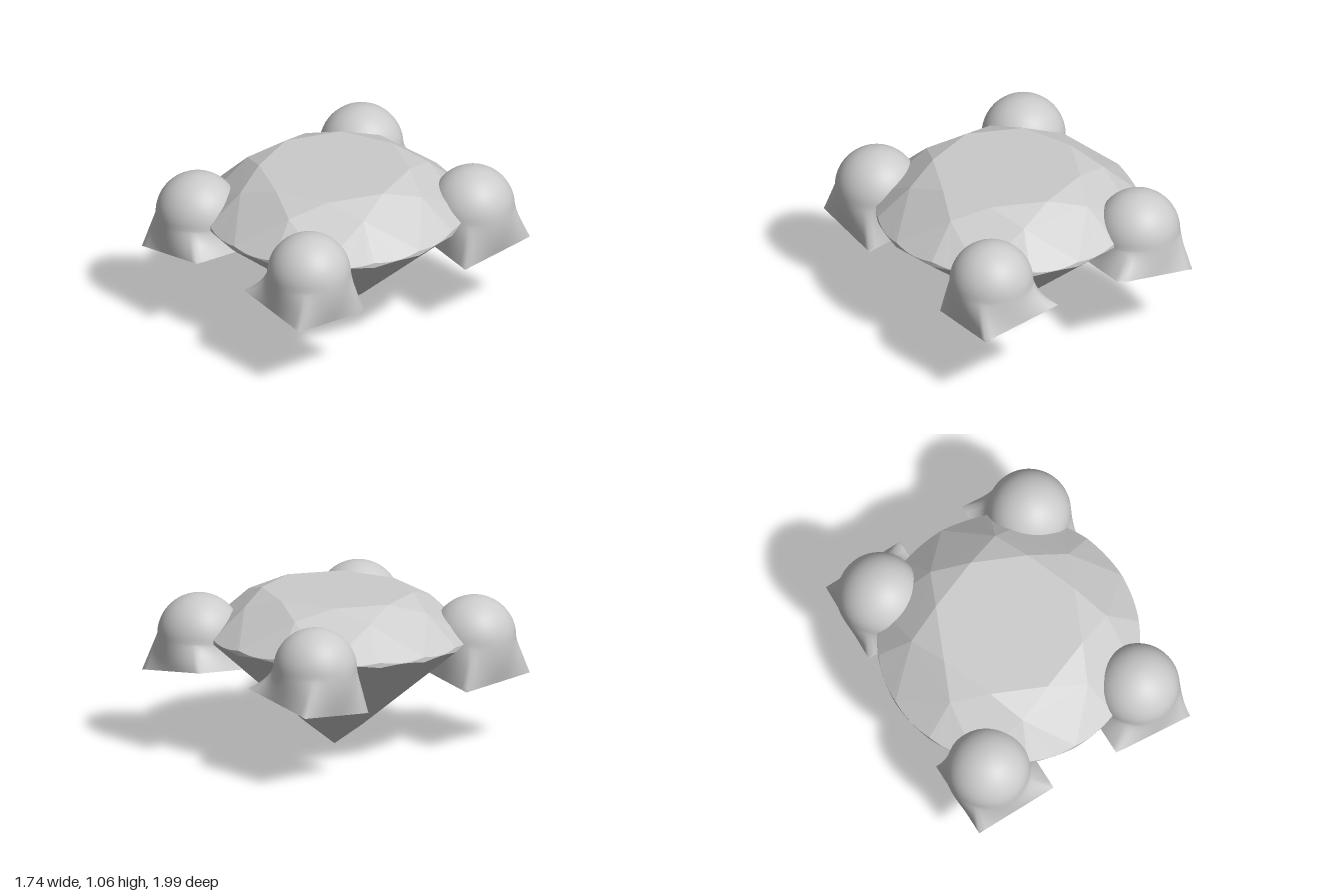
import * as THREE from 'three';

const lerp = THREE.MathUtils.lerp;
const polar = (r, a, y) => [r * Math.sin(a), y, r * Math.cos(a)];

// Round brilliant-cut stone: eightfold crown, scalloped girdle, pointed pavilion
function gemGeometry() {
  const pos = [];
  const face = (...p) => {
    for (let i = 1; i < p.length - 1; i++) pos.push(...p[0], ...p[i], ...p[i + 1]);
  };
  const R = 0.87, steps = 16, eighth = Math.PI / 4;
  const dip = (a) => Math.abs(Math.sin(8 * a));
  const upper = (a) => polar(R, a, 0.77 - 0.0159 * dip(a));
  const lower = (a) => polar(R, a, 0.735 + 0.0148 * dip(a));
  const table = (i) => polar(0.5, i * eighth, 1.05);
  const star = (i) => polar(0.65, (i + 0.5) * eighth, 0.975);
  const half = (i) => polar(0.2, (i + 0.5) * eighth, 0.156);
  const culet = [0, 0, 0];

  for (let i = 0; i < 8; i++) {
    const a = i * eighth;
    face([0, 1.05, 0], table(i), table(i + 1));            // table
    face(star(i), table(i + 1), table(i));                 // star facet
    face(star(i - 1), upper(a), star(i), table(i));        // kite facet
    face(culet, half(i), lower(a), half(i - 1));           // pavilion main
    for (let j = 0; j < steps; j++) {
      const b = a + eighth * j / steps, c = a + eighth * (j + 1) / steps;
      face(upper(b), upper(c), star(i));                   // upper half
      face(lower(b), lower(c), upper(c), upper(b));        // girdle
      face(half(i), lower(c), lower(b));                   // lower half
    }
  }
  const g = new THREE.BufferGeometry();
  g.setAttribute('position', new THREE.Float32BufferAttribute(pos, 3));
  g.computeVertexNormals();
  return g;
}

// Claw: slanted square foot blending upward into a round dome; sx, sz mirror it
function prongGeometry(sx, sz) {
  const n = 64, wall = 14, dome = 16, rows = wall + dome;
  const pos = [], idx = [];
  const put = (x, y, z) => pos.push(sx * x, y, sz * z);
  const tri = (a, b, c) => (sx * sz > 0 ? idx.push(a, b, c) : idx.push(a, c, b));
  const footY = (x, z) => 0.495 + (0.81 - x) * 0.158 - (1 - z) * 0.087;
  const ring = (row, j) => {
    const a = j / n * Math.PI * 2, s = Math.sin(a), c = Math.cos(a);
    const f = Math.min(row / wall, 1);
    const phi = Math.max(row - wall, 0) / dome * Math.PI / 2;
    const square = 1 / Math.max(Math.abs(s), Math.abs(c));
    const k = lerp(1, square, Math.pow(1 - f, 1.2)) * Math.cos(phi);
    const e = Math.sin(f * Math.PI / 2);
    const x = lerp(0.525, 0.575, e) + s * k * lerp(0.285, 0.278, f);
    const z = lerp(0.715, 0.705, f) + c * k * lerp(0.28, 0.278, f);
    put(x, lerp(footY(x, z), 0.74, f) + 0.277 * Math.sin(phi), z);
  };
  for (let row = 0; row <= rows; row++) for (let j = 0; j < n; j++) ring(row, j);
  for (let row = 0; row < rows; row++) {
    for (let j = 0; j < n; j++) {
      const a = row * n + j, b = row * n + (j + 1) % n;
      tri(a, b, b + n);
      if (row < rows - 1) tri(a, b + n, a + n);
    }
  }
  // Flat underside with its own vertices so the rim stays sharp
  const base = pos.length / 3;
  for (let j = 0; j < n; j++) ring(0, j);
  put(0.525, footY(0.525, 0.715), 0.715);
  for (let j = 0; j < n; j++) tri(base + n, base + (j + 1) % n, base + j);

  const g = new THREE.BufferGeometry();
  g.setAttribute('position', new THREE.Float32BufferAttribute(pos, 3));
  g.setIndex(idx);
  g.computeVertexNormals();
  return g;
}

export function createModel() {
  const model = new THREE.Group();
  model.name = 'prongSetGem';
  const tilted = new THREE.Group();
  tilted.name = 'tiltedSetting';

  const gem = new THREE.Mesh(gemGeometry(),
    new THREE.MeshStandardMaterial({ color: 0xcccccc, flatShading: true }));
  gem.name = 'gemstone';
  gem.position.y = -0.7;
  tilted.add(gem);

  const metal = new THREE.MeshStandardMaterial({ color: 0xcccccc });
  for (const [sz, end] of [[1, 'front'], [-1, 'back']]) {
    for (const [sx, side] of [[1, 'Left'], [-1, 'Right']]) {
      const prong = new THREE.Mesh(prongGeometry(sx, sz), metal);
      prong.name = `${end}${side}Prong`;
      prong.position.y = -0.7;
      tilted.add(prong);
    }
  }

  // The whole setting leans slightly toward the front
  tilted.position.y = 0.7;
  tilted.rotation.x = 0.027;
  model.add(tilted);
  return model;
}
